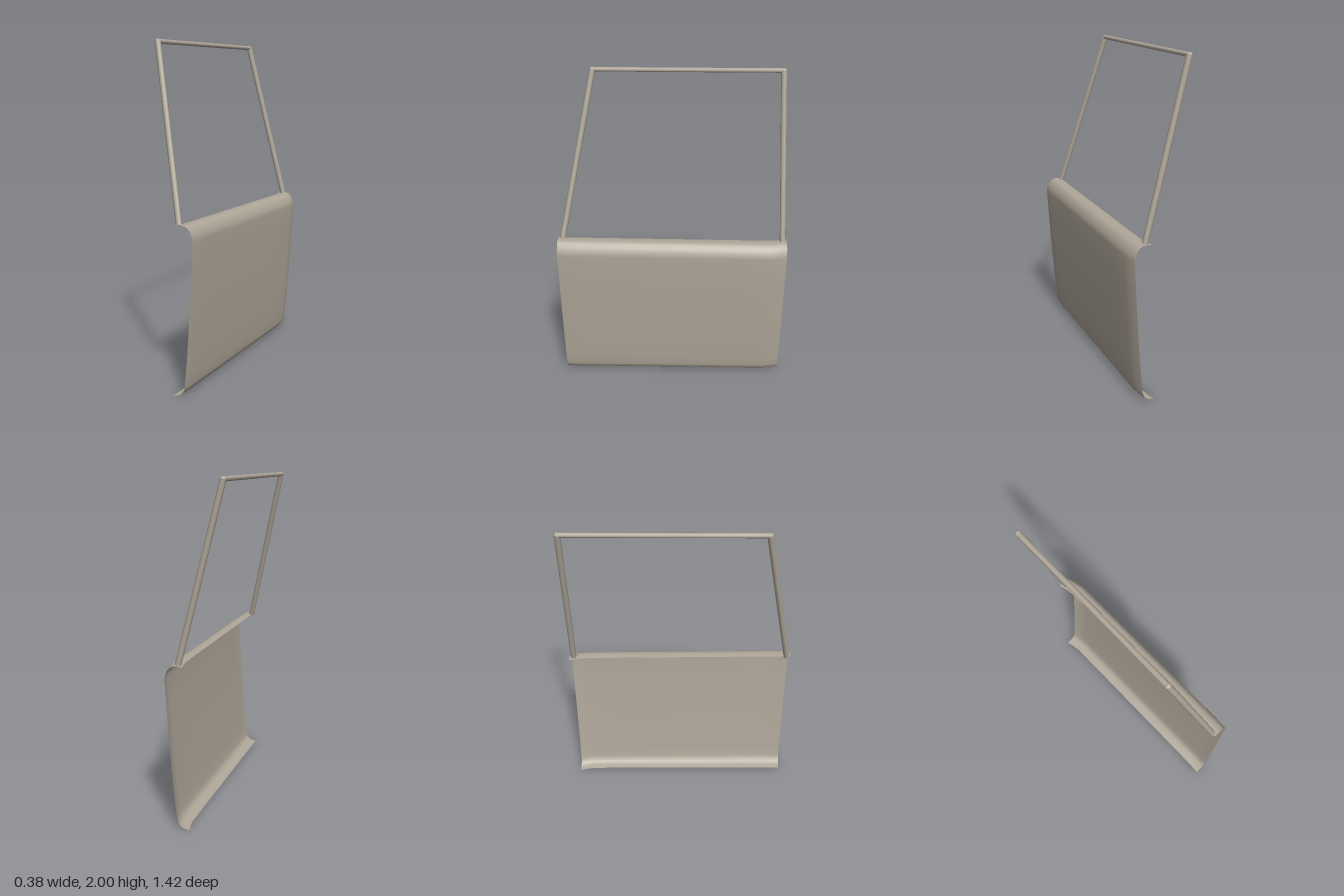
import * as THREE from 'three';

const paint = new THREE.MeshStandardMaterial({ color: 0xb0a799, side: THREE.DoubleSide });
paint.name = 'warm grey paint';

// Round bar between two points, flattened a little in height if asked
function bar(name, a, b, radius, flatten = 1) {
  const dir = b.clone().sub(a);
  const geo = new THREE.CylinderGeometry(radius, radius, dir.length(), 8);
  geo.applyQuaternion(new THREE.Quaternion().setFromUnitVectors(
    new THREE.Vector3(0, 1, 0), dir.clone().normalize()));
  geo.scale(1, flatten, 1);
  const mesh = new THREE.Mesh(geo, paint);
  mesh.name = name;
  mesh.position.copy(a).add(b).multiplyScalar(0.5);
  return mesh;
}

// Curved sheet: one side profile swept from rear to front
function doorSkin() {
  // x, y from the bottom lip up to the window sill
  const profile = [
    [0.047, 0.0], [0.075, 0.005], [0.098, 0.014], [0.112, 0.03], [0.121, 0.055],
    [0.128, 0.12], [0.138, 0.22], [0.152, 0.4], [0.164, 0.58], [0.174, 0.75],
    [0.182, 0.9], [0.176, 0.93], [0.163, 0.957], [0.147, 0.975], [0.13, 0.983],
    [0.105, 0.985], [0.075, 0.981],
  ];
  // z and sideways shift of each section
  const sections = [
    [-0.712, -0.027], [-0.69, -0.021], [-0.66, -0.014], [-0.61, -0.006], [-0.4, -0.003],
    [0, 0], [0.4, 0.004], [0.61, 0.006], [0.67, 0.005], [0.712, 0.003],
  ];
  const positions = [], index = [], n = profile.length;
  sections.forEach(([z, shift], s) => {
    profile.forEach(([x, y], p) => {
      positions.push(x + shift, y * (1 + 0.009 * z), z);
      if (s && p) {
        const d = s * n + p, c = d - 1, b = d - n, a = b - 1;
        index.push(a, b, d, a, d, c);
      }
    });
  });
  const geo = new THREE.BufferGeometry();
  geo.setAttribute('position', new THREE.Float32BufferAttribute(positions, 3));
  geo.setIndex(index);
  geo.computeVertexNormals();
  const mesh = new THREE.Mesh(geo, paint);
  mesh.name = 'doorSkin';
  return mesh;
}

export function createModel() {
  const group = new THREE.Group();
  group.name = 'door';
  group.add(doorSkin());

  // Window frame leaning inwards
  const frame = new THREE.Group();
  frame.name = 'windowFrame';
  const frontFoot = new THREE.Vector3(0.083, 0.985, 0.686);
  const frontTop = new THREE.Vector3(-0.174, 1.985, 0.484);
  const rearTop = new THREE.Vector3(-0.174, 1.985, -0.655);
  const rearFoot = new THREE.Vector3(0.083, 0.978, -0.686);
  frame.add(bar('frontPost', frontFoot, frontTop, 0.018));
  frame.add(bar('topRail', frontTop, rearTop, 0.017, 0.8));
  frame.add(bar('rearPost', rearTop, rearFoot, 0.018));

  // Rounded corners
  for (const corner of [frontTop, rearTop]) {
    const joint = new THREE.Mesh(new THREE.SphereGeometry(0.018, 10, 8), paint);
    joint.name = 'frameCorner';
    joint.scale.y = 0.83;
    joint.position.copy(corner);
    frame.add(joint);
  }
  group.add(frame);
  return group;
}
